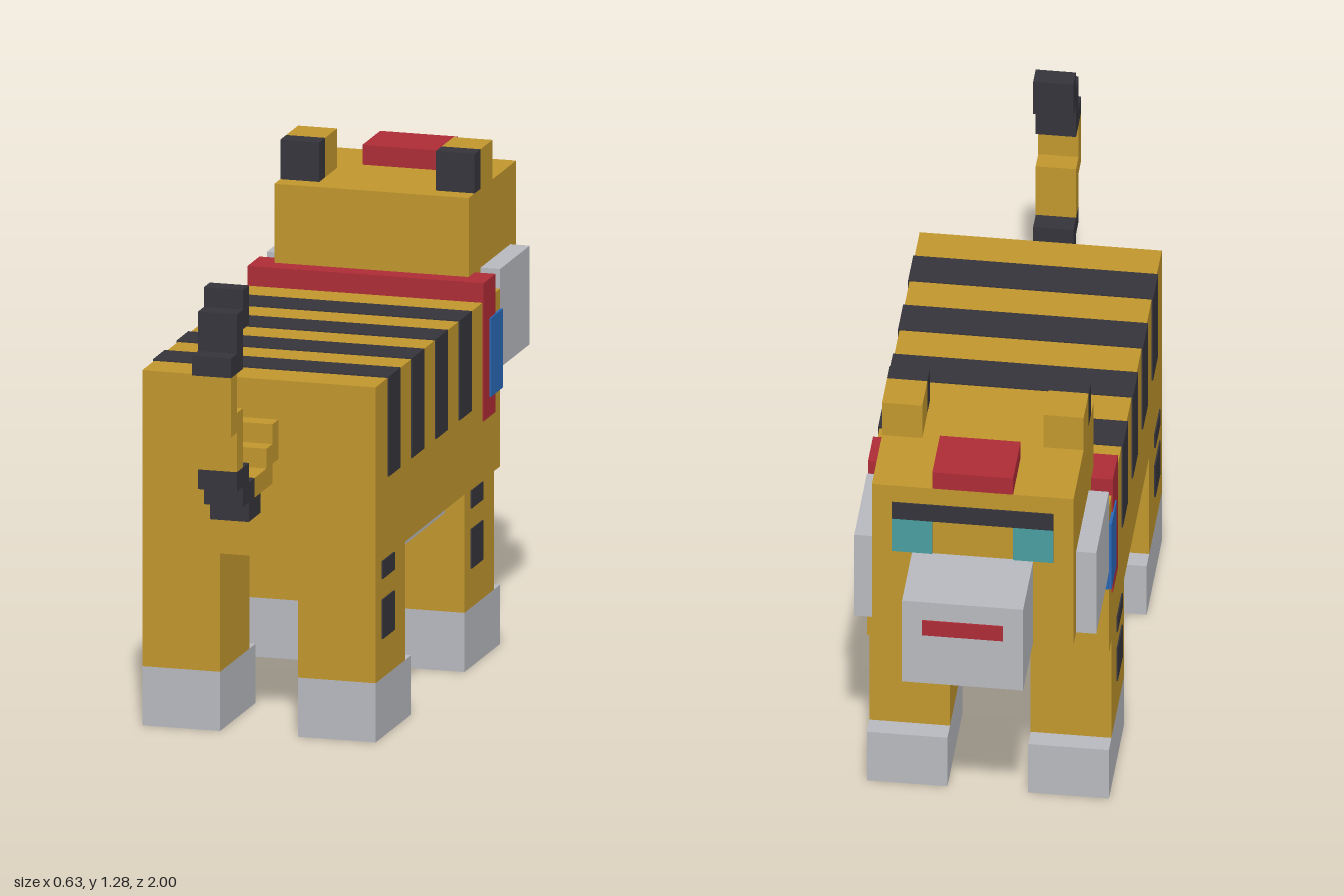
import * as THREE from 'three';

const U = 2 / 39; // one block unit
const T = 0.07;   // thickness of painted plates, in units

export function createModel() {
  const root = new THREE.Group();
  root.name = 'blockTiger';
  const mat = (name, color) => {
    const m = new THREE.MeshStandardMaterial({ color });
    m.name = name;
    return m;
  };
  const gold = mat('gold fur', 0xc0962d);
  const grey = mat('light grey', 0xb8b9be);
  const black = mat('black', 0x35343b);
  const red = mat('red', 0xad2b36);
  const blue = mat('blue', 0x2a68b8);
  const green = mat('green', 0x22845c);
  const teal = mat('teal', 0x4a9da0);

  // box from its limits in block units
  const box = (name, m, x0, x1, y0, y1, z0, z1) => {
    const g = new THREE.BoxGeometry((x1 - x0) * U, (y1 - y0) * U, (z1 - z0) * U);
    g.translate((x0 + x1) / 2 * U, (y0 + y1) / 2 * U, (z0 + z1) / 2 * U);
    const mesh = new THREE.Mesh(g, m);
    mesh.name = name;
    root.add(mesh);
  };
  // the same box on both sides
  const pair = (name, m, x0, x1, ...rest) => {
    box(name + 'Left', m, x0, x1, ...rest);
    box(name + 'Right', m, -x1, -x0, ...rest);
  };
  // painted plate on both flanks
  const flank = (name, m, y0, y1, z0, z1, t = T) => pair(name, m, 6, 6 + t, y0, y1, z0, z1);

  // body
  box('body', gold, -6, 6, 9, 18, -9.5, 11.5);
  box('belly', grey, -5, 5, 8, 9, -3.5, 6.5);
  for (const z of [-4.5, -0.5, 3.5, 7.5]) {
    box('backStripe', black, -6 - T, 6 + T, 18, 18 + T, z, z + 2);
    flank('flankStripe', black, 13, 18, z, z + 2);
  }

  // legs, feet and leg spots
  pair('rearLeg', gold, 2, 6, 3, 9, 6.5, 11.5);
  pair('rearFoot', grey, 2, 6, 0, 3, 5.5, 11.5);
  pair('frontLeg', gold, 2, 6, 3, 9, -8.5, -3.5);
  pair('frontFoot', grey, 2, 6, 0, 3, -9.5, -3.5);
  for (const z of [-6.5, 8.5]) {
    flank('upperSpot', black, 8.05, 8.95, z, z + 2);
    flank('lowerSpot', black, 5, 7, z, z + 2);
  }

  // collar, scarf and pendants
  box('collarTop', red, -6, 6, 18, 19, -8.5, -6.5);
  flank('collarSide', red, 12, 19, -8.5, -6.5);
  flank('scarfSide', blue, 13, 17, -9.5, -7.5, 2 * T);
  box('scarfFront', blue, -6, 6, 13, 17, -9.5 - T, -9.5);
  pair('pendant', green, 1, 3, 11, 14, -9.5 - 2 * T, -9.5);

  // head
  box('head', gold, -5, 5, 14, 23, -15.5, -7.5);
  box('muzzle', grey, -3, 3, 14, 19, -19.5, -15.5);
  box('mouth', red, -2, 2, 17, 17.9, -19.5 - T, -19.5);
  pair('cheek', grey, 5, 6, 14, 19, -14.5, -9.5);
  box('brow', black, -4, 4, 21, 22, -15.5 - T, -15.5);
  pair('eye', teal, 2, 4, 19, 21, -15.5 - T, -15.5);
  box('crest', red, -2, 2, 23, 24, -15.5, -12.5);
  pair('ear', gold, 3, 5, 23, 25, -11.5, -9.5);
  pair('earBack', black, 3, 5, 23, 25, -9.5, -8.5);

  // tail steps: y0, y1, z0, z1
  const tail = [
    [gold, 15, 16, 11.5, 12.5], [gold, 14, 15, 11.5, 13.5], [gold, 13, 14, 12.5, 15.5],
    [black, 12, 13, 14.5, 16.5], [black, 13, 14, 15.5, 17.5], [black, 14, 15, 16.5, 18.5],
    [gold, 15, 17, 17.5, 18.5], [gold, 17, 18, 17.5, 19.5], [gold, 18, 20, 18.5, 19.5],
    [black, 20, 21, 17.5, 19.5], [black, 21, 22, 17.5, 18.5],
    [black, 22, 23, 16.5, 18.5], [black, 23, 24, 16.5, 17.5],
  ];
  for (const [m, ...d] of tail) box('tailStep', m, -1, 1, ...d);

  return root;
}
